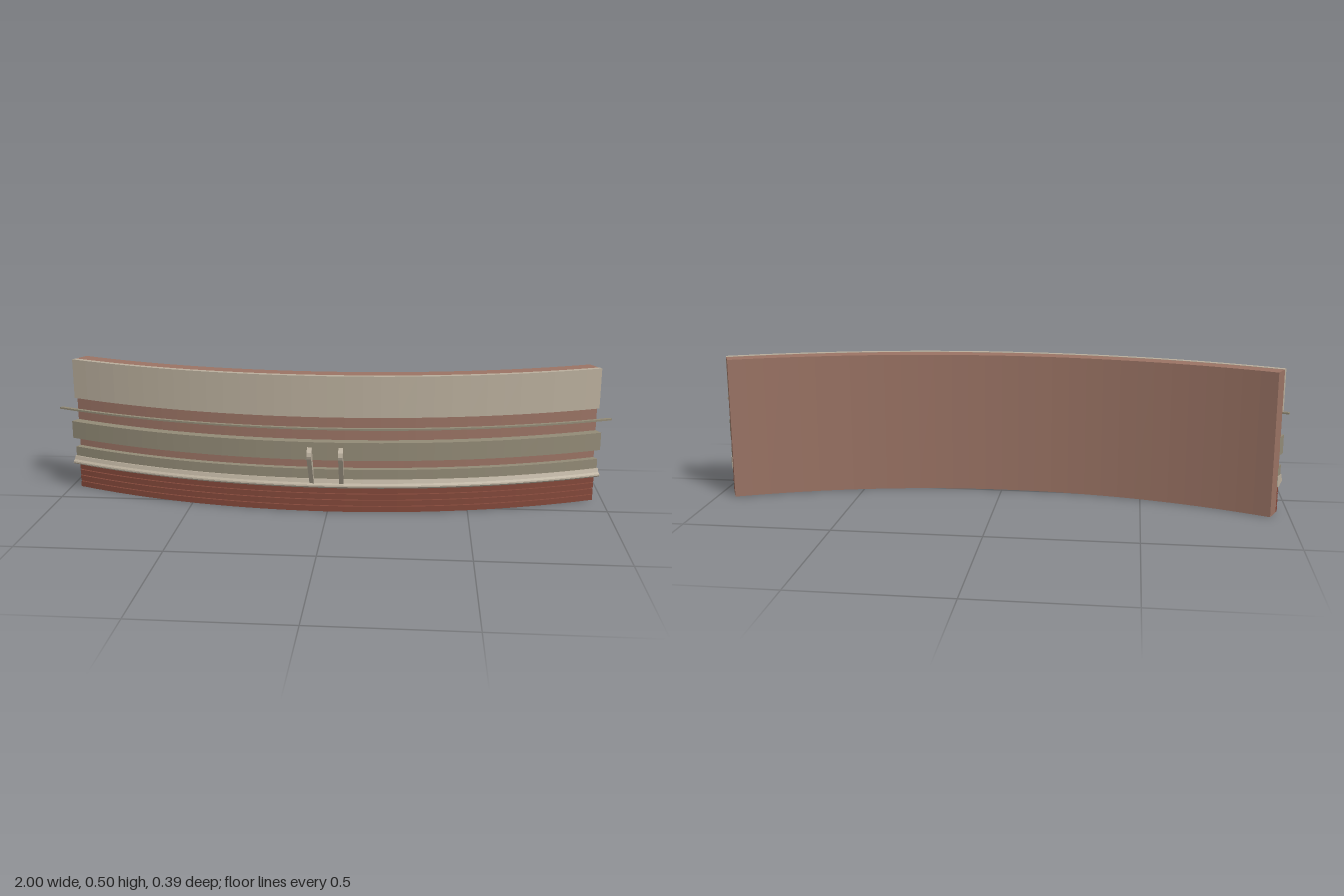
import * as THREE from 'three';

const CENTRE_Z = -2.28; // centre of the curve, all parts are concentric
const HALF = 0.4213;    // half angle of the arc

// Sweeps a closed (z at the middle, y) profile around the curve's centre.
function sweep(profile, from, to, steps) {
  const shape = new THREE.Shape(profile.map(([z, y]) => new THREE.Vector2(z - CENTRE_Z, y)));
  const geo = new THREE.ExtrudeGeometry(shape, { depth: 1, steps, bevelEnabled: false });
  const p = geo.attributes.position;
  for (let i = 0; i < p.count; i++) {
    const r = p.getX(i);
    const a = to + (from - to) * p.getZ(i);
    p.setXYZ(i, r * Math.sin(a), p.getY(i), r * Math.cos(a) + CENTRE_Z);
  }
  geo.computeVertexNormals();
  return geo;
}

const rect = (z0, z1, y0, y1) => [[z0, y0], [z1, y0], [z1, y1], [z0, y1]];

export function createModel() {
  const group = new THREE.Group();
  const material = (name, color) => {
    const m = new THREE.MeshStandardMaterial({ color });
    m.name = name;
    return m;
  };
  const wallBrown = material('wall brown', 0x9a7364);
  const baseRed = material('base red', 0x83483a);
  const paleStone = material('pale stone', 0xb9ae9c);
  const darkStone = material('dark stone', 0x928a76);

  const add = (name, mat, profile, from = -HALF, to = HALF, steps = 32) => {
    const mesh = new THREE.Mesh(sweep(profile, from, to, steps), mat);
    mesh.name = name;
    group.add(mesh);
  };

  // Main curved wall
  add('wall', wallBrown, rect(0.006, 0.07, 0, 0.496));

  // Base courses with narrow grooves between them
  [[0, 0.0205], [0.0235, 0.0435], [0.0475, 0.0665], [0.07, 0.091]].forEach(([y0, y1], i) =>
    add(`baseCourse${i + 1}`, baseRed, rect(0.065, 0.079, y0, y1)));
  add('grooveBacking', baseRed, rect(0.065, 0.0708, 0.001, 0.09));

  // Moulded ledge
  add('ledge', paleStone, [
    [0.062, 0.09], [0.084, 0.09], [0.092, 0.095], [0.108, 0.099], [0.112, 0.104],
    [0.111, 0.109], [0.104, 0.115], [0.099, 0.128], [0.062, 0.128],
  ], -HALF - 0.0008, HALF + 0.0008);

  // Horizontal bands
  add('lowerBand', darkStone, rect(0.065, 0.094, 0.128, 0.163));
  add('middleBand', darkStone, rect(0.065, 0.107, 0.2, 0.265));
  add('topBand', paleStone, rect(0.065, 0.085, 0.35, 0.497));

  // Thin free-standing rail
  add('rail', darkStone, rect(0.151, 0.165, 0.326, 0.332));

  // Pair of leaning brackets
  const bracket = [
    [0.11, 0.115], [0.115, 0.117], [0.19, 0.227], [0.193, 0.237], [0.189, 0.251],
    [0.18, 0.262], [0.17, 0.265], [0.165, 0.26], [0.141, 0.202], [0.128, 0.179],
    [0.115, 0.147], [0.11, 0.13],
  ];
  for (const [side, a] of [['left', 0.022], ['right', -0.022]]) {
    add(`${side}Bracket`, paleStone, bracket, a - 0.0032, a + 0.0032, 1);
  }
  return group;
}
